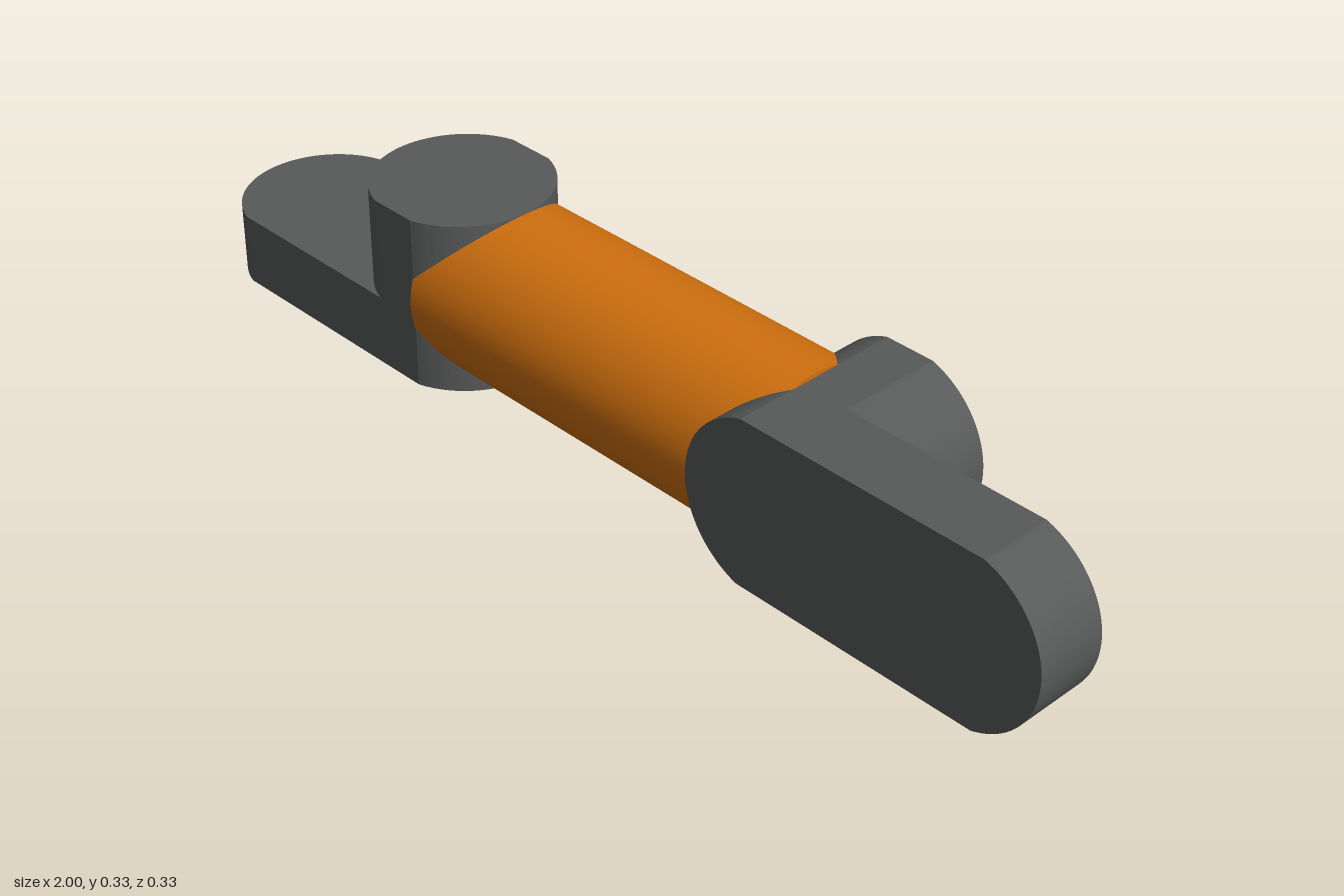
import * as THREE from 'three';
import { toCreasedNormals } from 'three/addons/utils/BufferGeometryUtils.js';

const AXIS_Y = 0.167;   // height of the link's long axis
const HALF = 0.167;     // half thickness of each joint
const R = 0.165;        // radius of pins and rounded ends
const FLAT = 0.158;     // half width after the sides are trimmed flat
const PIN_X = 0.445;    // distance of the pin centre from the middle
const TIP_X = 1 - R;    // centre of the rounded outer end

// Stadium outline with slightly trimmed sides, from arc centre x0 to x1
function trimmedOutline(x0, x1) {
  const a = Math.asin(FLAT / R);
  const shape = new THREE.Shape();
  shape.absarc(x1, 0, R, -a, a, false);
  shape.absarc(x0, 0, R, Math.PI - a, Math.PI + a, false);
  shape.closePath();
  return shape;
}

function slab(shape, z0, z1) {
  const geo = new THREE.ExtrudeGeometry(shape, { depth: z1 - z0, bevelEnabled: false, curveSegments: 32 });
  geo.translate(0, 0, z0);
  return toCreasedNormals(geo, 0.16);
}

// End joint: round pin across the bar and a half-thickness tongue pointing outwards
function createJoint(name, material) {
  const joint = new THREE.Group();
  joint.name = name;
  const tongue = new THREE.Mesh(slab(trimmedOutline(PIN_X, TIP_X), 0.03, HALF), material);
  tongue.name = 'tongue';
  const pin = new THREE.Mesh(slab(trimmedOutline(PIN_X, PIN_X), -HALF, 0.035), material);
  pin.name = 'pin';
  joint.add(tongue, pin);
  joint.position.y = AXIS_Y;
  return joint;
}

export function createModel() {
  const group = new THREE.Group();
  group.name = 'jointedLink';
  const grey = new THREE.MeshStandardMaterial({ color: 0x585a5a });
  const orange = new THREE.MeshStandardMaterial({ color: 0xd0700f });

  // Round connecting bar, its ends buried in the pins
  const barGeo = new THREE.CylinderGeometry(0.1662, 0.1662, 0.796, 64);
  barGeo.rotateZ(Math.PI / 2);
  const bar = new THREE.Mesh(barGeo, orange);
  bar.name = 'bar';
  bar.position.y = AXIS_Y;
  group.add(bar);

  // Left joint has its tongue at the front; the right one is turned a quarter so it lies flat
  const left = createJoint('leftJoint', grey);
  const right = createJoint('rightJoint', grey);
  right.rotation.set(Math.PI / 2, 0, Math.PI);
  group.add(left, right);

  return group;
}
